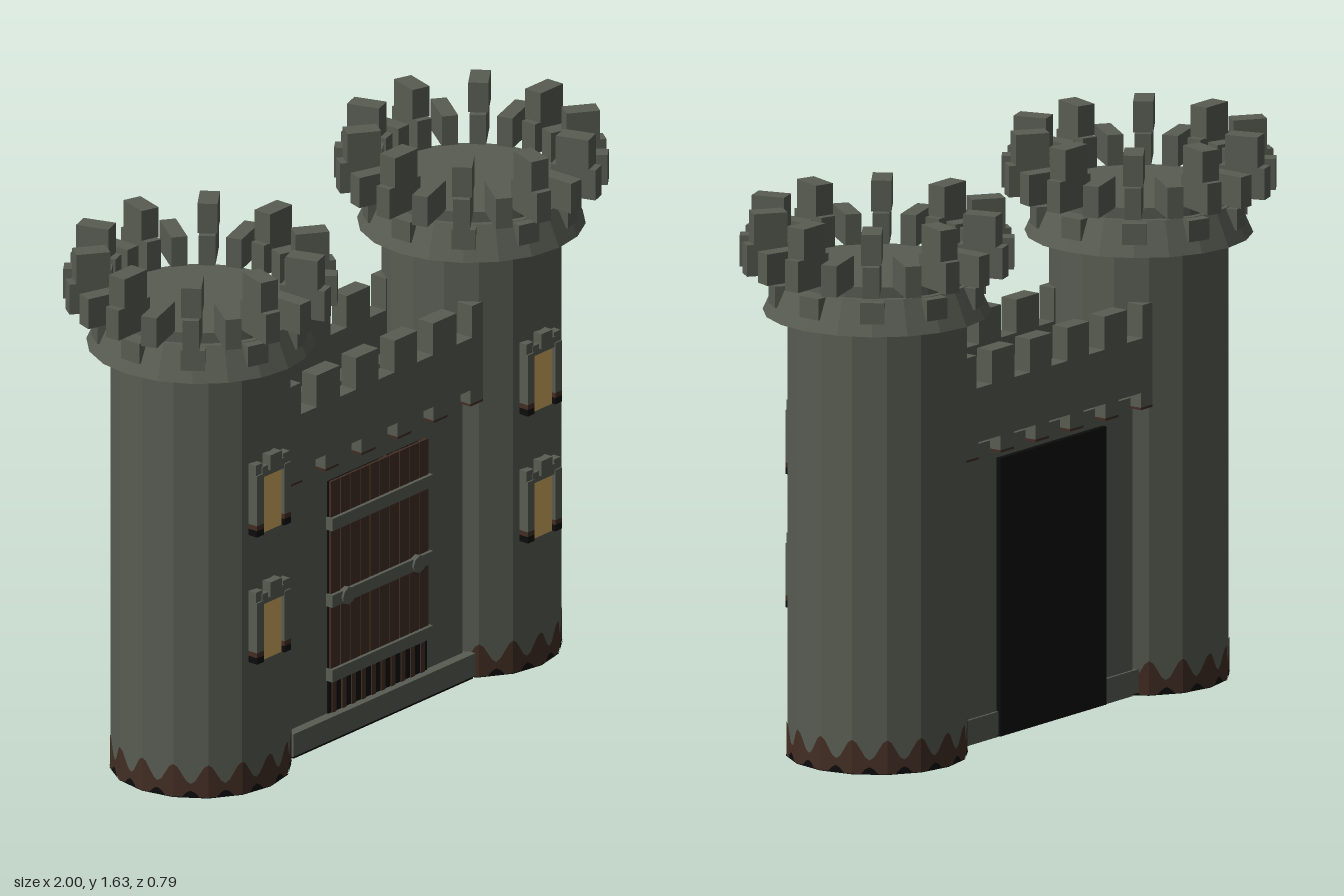
import * as THREE from 'three';

const mat = (name, color, side = THREE.FrontSide) => {
  const m = new THREE.MeshStandardMaterial({ color, side });
  m.name = name;
  return m;
};
const stone = mat('stone', 0x585c52);
const brown = mat('brown', 0x432e24, THREE.DoubleSide);
const black = mat('black', 0x0c0c0c, THREE.DoubleSide);
const gold = mat('window gold', 0xcfab60);

const SIDES = 16, R = 0.26, TX = 0.605;

function add(parent, name, geo, material, x = 0, y = 0, z = 0) {
  const m = new THREE.Mesh(geo, material);
  m.name = name;
  m.position.set(x, y, z);
  parent.add(m);
  return m;
}

// Box given by its extents
function box(parent, name, material, x0, x1, y0, y1, z0, z1) {
  return add(parent, name, new THREE.BoxGeometry(x1 - x0, y1 - y0, z1 - z0), material,
    (x0 + x1) / 2, (y0 + y1) / 2, (z0 + z1) / 2);
}

// Faceted cylinder between two heights
function drum(parent, name, rTop, rBottom, y0, y1, sides = SIDES) {
  const g = new THREE.CylinderGeometry(rTop, rBottom, y1 - y0, sides).toNonIndexed();
  g.computeVertexNormals();
  return add(parent, name, g, stone, 0, (y0 + y1) / 2, 0);
}

// Block pointing outwards from the tower axis
function spoke(parent, name, angle, r0, r1, y0, y1, width) {
  const r = (r0 + r1) / 2;
  const m = add(parent, name, new THREE.BoxGeometry(r1 - r0, y1 - y0, width), stone,
    Math.cos(angle) * r, (y0 + y1) / 2, Math.sin(angle) * r);
  m.rotation.y = -angle;
}

// Thin skirt around the faceted tower with a wavy upper edge
function wavyBand(radius, height) {
  const pos = [], idx = [], steps = 8;
  for (let f = 0; f < SIDES; f++) {
    const a = (f / SIDES) * Math.PI * 2, b = ((f + 1) / SIDES) * Math.PI * 2;
    for (let s = 0; s <= steps; s++) {
      const t = s / steps;
      const x = radius * THREE.MathUtils.lerp(Math.sin(a), Math.sin(b), t);
      const z = radius * THREE.MathUtils.lerp(Math.cos(a), Math.cos(b), t);
      const i = pos.length / 3;
      pos.push(x, 0, z, x, height(t), z);
      if (s < steps) idx.push(i, i + 2, i + 3, i, i + 3, i + 1);
    }
  }
  const g = new THREE.BufferGeometry();
  g.setAttribute('position', new THREE.Float32BufferAttribute(pos, 3));
  g.setIndex(idx);
  g.computeVertexNormals();
  return g;
}

function makeWindow(y) {
  const w = new THREE.Group();
  w.name = 'window';
  box(w, 'windowPane', gold, -0.045, 0.045, 0, 0.18, 0.258, 0.266);
  for (const s of [-1, 1]) {
    const x0 = s < 0 ? -0.076 : 0.046, x1 = x0 + 0.03;
    box(w, 'windowJamb', stone, x0, x1, 0.035, 0.19, 0.235, 0.277);
    box(w, 'jambStain', brown, x0, x1, 0.02, 0.035, 0.235, 0.277);
    box(w, 'jambFoot', black, x0, x1, 0, 0.02, 0.235, 0.277);
    box(w, 'jambCap', stone, x0, x1, 0.19, 0.222, 0.235, 0.272);
  }
  box(w, 'windowLintel', stone, -0.05, 0.05, 0.178, 0.21, 0.24, 0.275);
  box(w, 'keystone', stone, -0.025, 0.025, 0.195, 0.242, 0.24, 0.285);
  w.position.y = y;
  return w;
}

function makeTower(x) {
  const t = new THREE.Group();
  t.name = 'tower';
  drum(t, 'towerShaft', R, R, 0, 1.43);
  drum(t, 'towerCornice', 0.285, 0.33, 1.315, 1.415, 20);
  drum(t, 'towerDeck', 0.268, 0.268, 1.415, 1.447, 20);
  for (let i = 0; i < 20; i++) {
    const a = (i / 20) * Math.PI * 2;
    spoke(t, 'battlementBase', a, 0.255, 0.395, 1.445, 1.538, 0.048);
    if (i % 2 === 0) {
      spoke(t, 'merlon', a, 0.275, 0.375, 1.538, 1.63, 0.058);
      spoke(t, 'towerCorbel', a, 0.26, 0.315, 1.35, 1.413, 0.07);
    }
  }
  add(t, 'baseStain', wavyBand(R + 0.002, u => 0.072 + 0.03 * Math.cos(u * Math.PI * 2)), brown);
  add(t, 'baseDirt', wavyBand(R + 0.004, u => Math.max(0.002, -0.022 * Math.cos(u * Math.PI * 2))), black);
  t.add(makeWindow(0.405), makeWindow(0.8));
  t.position.x = x;
  return t;
}

function makeParapet(side) {
  const p = new THREE.Group();
  p.name = 'parapet';
  const zs = (a, b) => (side > 0 ? [a, b] : [-b, -a]);
  const [z0, z1] = zs(0.135, 0.19);
  box(p, 'parapetWall', stone, -0.437, 0.437, 0.907, 1.068, z0, z1);
  for (const s of [-1, 1]) {
    for (const [c, w] of [[0.0865, 0.1], [0.26, 0.104], [0.41, 0.054]]) {
      box(p, 'parapetMerlon', stone, s * c - w / 2, s * c + w / 2, 1.068, 1.166, z0, z1);
    }
    for (const c of [0.08, 0.242, 0.406]) {
      box(p, 'parapetCorbel', stone, s * c - 0.031, s * c + 0.031, 0.863, 0.907, z0, z1);
      box(p, 'corbelStain', brown, s * c - 0.031, s * c + 0.031, 0.856, 0.863, z0, z1);
    }
  }
  return p;
}

function makeGate() {
  const g = new THREE.Group();
  g.name = 'gatehouse';
  box(g, 'gateWall', stone, -0.385, 0.385, 0, 0.887, -0.152, 0.152);
  box(g, 'gateSill', stone, -0.407, 0.407, 0.008, 0.078, -0.16, 0.182);
  box(g, 'sillShadowLine', black, -0.4, 0.4, 0, 0.008, 0.15, 0.178);
  box(g, 'backOpening', black, -0.245, 0.245, 0.005, 0.83, -0.168, -0.15);
  box(g, 'doorVoid', black, -0.22, 0.22, 0.078, 0.8, 0.15, 0.157);

  // Plank door with bars showing below it
  const n = 10, pitch = 0.44 / n;
  for (let i = 0; i < n; i++) {
    const x = -0.22 + pitch * (i + 0.5);
    box(g, 'doorPlank', brown, x - pitch / 2 + 0.0015, x + pitch / 2 - 0.0015, 0.18, 0.8, 0.15, 0.165);
    box(g, 'gateBar', brown, x - 0.009, x + 0.009, 0.078, 0.18, 0.15, 0.161);
  }
  for (const y of [0.2, 0.432, 0.67]) {
    box(g, 'doorBand', stone, -0.225, 0.225, y - 0.019, y + 0.019, 0.15, 0.176);
  }
  for (const s of [-1, 1]) {
    const knob = add(g, 'doorKnob', new THREE.CylinderGeometry(0.027, 0.027, 0.03, 8), stone, s * 0.158, 0.432, 0.168);
    knob.rotation.x = Math.PI / 2;
  }

  // Walkway and the sloped chute above the door
  box(g, 'walkway', stone, -0.385, 0.385, 0.91, 0.94, -0.14, 0.14);
  const chute = new THREE.BoxGeometry(1, 1, 1).toNonIndexed();
  const p = chute.attributes.position;
  for (let i = 0; i < p.count; i++) {
    const front = p.getZ(i) > 0;
    p.setXYZ(i, p.getX(i) * (front ? 0.18 : 0.38),
      p.getY(i) < 0 ? 0.93 : front ? 1.05 : 0.95, front ? 0.085 : -0.135);
  }
  chute.computeVertexNormals();
  add(g, 'chute', chute, stone);
  box(g, 'chuteLip', brown, -0.09, 0.09, 0.94, 1.05, 0.085, 0.105);
  box(g, 'chuteMouth', black, -0.085, 0.085, 0.94, 1.03, 0.105, 0.135);
  g.add(makeParapet(1), makeParapet(-1));
  return g;
}

export function createModel() {
  const model = new THREE.Group();
  model.name = 'castleGate';
  model.add(makeTower(-TX), makeTower(TX), makeGate());
  return model;
}
